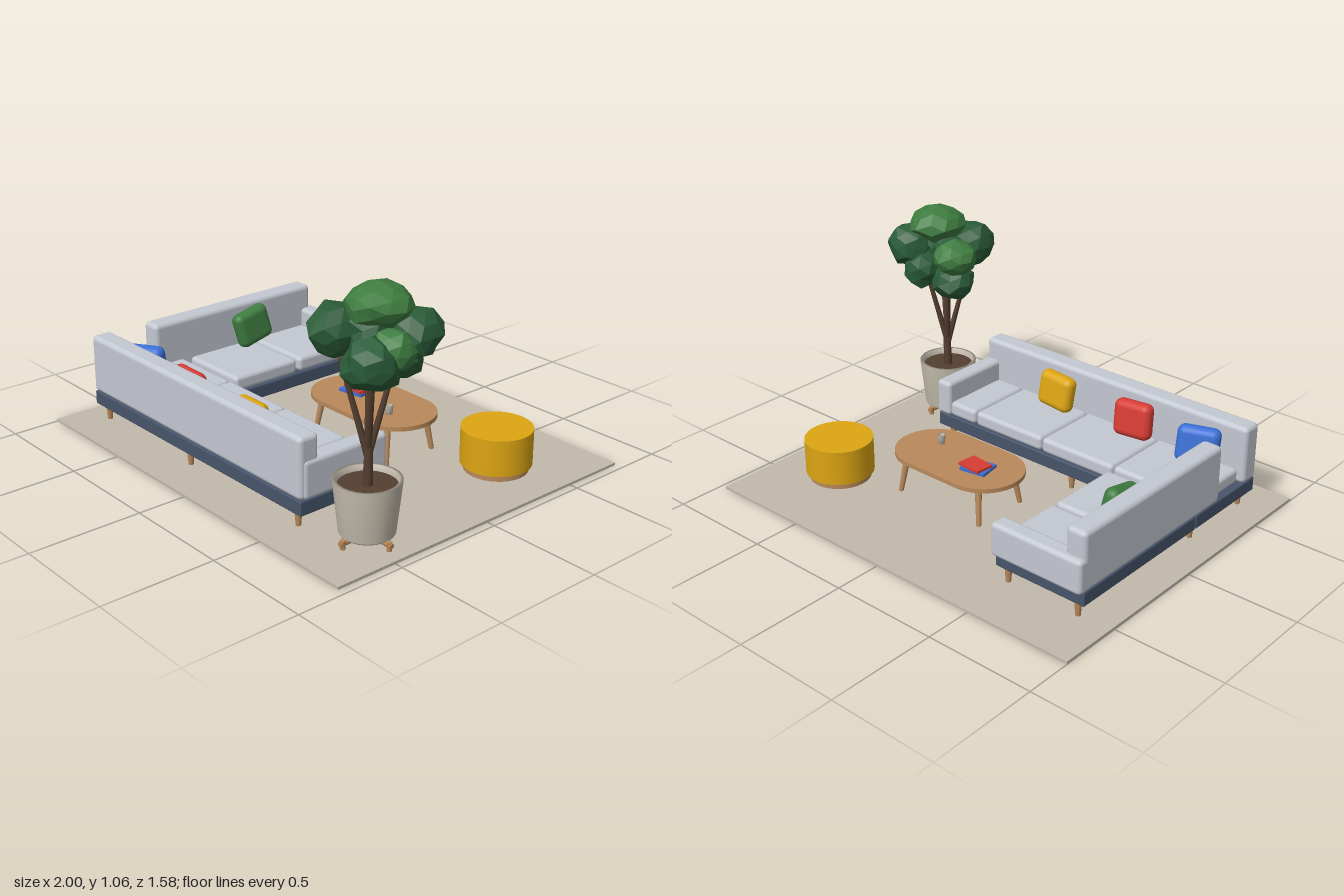
import * as THREE from 'three';
import { RoundedBoxGeometry } from 'three/addons/geometries/RoundedBoxGeometry.js';

const mat = (name, color) => {
  const m = new THREE.MeshStandardMaterial({ color });
  m.name = name;
  return m;
};

export function createModel() {
  const stone = mat('warm stone', 0xc1b9aa);
  const fabric = mat('light grey fabric', 0xc4c8d1);
  const slate = mat('slate base', 0x47546a);
  const wood = mat('light wood', 0xb9895a);
  const mustard = mat('mustard', 0xdca512);
  const red = mat('red', 0xd63c34);
  const blue = mat('blue', 0x3b70d6);
  const leafDark = mat('dark leaf', 0x2a5c38);
  const leaf = mat('leaf green', 0x3f7d41);
  const bark = mat('bark', 0x553f30);

  const model = new THREE.Group();
  model.name = 'livingRoomSet';
  const group = (name) => {
    const g = new THREE.Group();
    g.name = name;
    model.add(g);
    return g;
  };
  const add = (parent, name, geo, material, x = 0, y = 0, z = 0) => {
    const m = new THREE.Mesh(geo, material);
    m.name = name;
    m.position.set(x, y, z);
    parent.add(m);
    return m;
  };
  // box given by its limits, rounded when r > 0
  const block = (parent, name, material, x0, x1, y0, y1, z0, z1, r = 0) => {
    const s = [x1 - x0, y1 - y0, z1 - z0];
    const geo = r ? new RoundedBoxGeometry(...s, 3, r) : new THREE.BoxGeometry(...s);
    return add(parent, name, geo, material, (x0 + x1) / 2, (y0 + y1) / 2, (z0 + z1) / 2);
  };
  // tapered rod between two points
  const rod = (parent, name, material, a, b, ra, rb, sides = 12) => {
    const A = new THREE.Vector3(...a), B = new THREE.Vector3(...b);
    const dir = B.clone().sub(A);
    const m = add(parent, name, new THREE.CylinderGeometry(rb, ra, dir.length(), sides), material);
    m.position.copy(A).add(B).multiplyScalar(0.5);
    m.quaternion.setFromUnitVectors(new THREE.Vector3(0, 1, 0), dir.normalize());
    return m;
  };

  // Rug
  block(model, 'rug', stone, -1, 0.965, 0, 0.012, -0.79, 0.785);

  // Corner sofa: bases, backs and arms
  const sofa = group('cornerSofa');
  block(sofa, 'longBase', slate, -0.895, 0.572, 0.083, 0.147, 0.192, 0.635, 0.006);
  block(sofa, 'sideBase', slate, -0.895, -0.447, 0.083, 0.147, -0.56, 0.188, 0.006);
  block(sofa, 'longBack', fabric, -0.9, 0.572, 0.147, 0.415, 0.538, 0.637, 0.022);
  block(sofa, 'sideBack', fabric, -0.9, -0.803, 0.147, 0.415, -0.567, 0.355, 0.022);
  block(sofa, 'longArm', fabric, 0.497, 0.58, 0.147, 0.315, 0.187, 0.62, 0.02);
  block(sofa, 'sideArm', fabric, -0.9, -0.447, 0.147, 0.3, -0.595, -0.512, 0.02);

  // Seat cushions
  [[-0.868, -0.452], [-0.448, -0.052], [-0.048, 0.343], [0.348, 0.505]].forEach(([a, b]) =>
    block(sofa, 'longSeatCushion', fabric, a, b, 0.147, 0.218, 0.197, 0.545, 0.02));
  [[-0.52, -0.21], [-0.195, 0.165]].forEach(([a, b]) =>
    block(sofa, 'sideSeatCushion', fabric, -0.81, -0.452, 0.147, 0.218, a, b, 0.02));

  // Sofa legs
  [[-0.845, 0.595], [-0.21, 0.595], [0.51, 0.595], [-0.845, 0.225], [-0.21, 0.225], [0.51, 0.225],
    [-0.845, -0.53], [-0.49, -0.53]].forEach(([x, z]) =>
    rod(sofa, 'sofaLeg', wood, [x, 0.012, z], [x, 0.086, z], 0.011, 0.017));

  // Throw pillows: material, position, lean, turn and roll
  const pillow = (name, material, x, y, z, rx, ry, rz) => {
    const geo = new RoundedBoxGeometry(0.19, 0.17, 0.075, 5, 0.034);
    const m = add(sofa, name, geo, material, x, y, z);
    m.rotation.set(rx, ry, rz, 'YXZ');
  };
  pillow('bluePillow', blue, -0.7, 0.3, 0.475, 0.16, 0.45, 0.06);
  pillow('redPillow', red, -0.345, 0.3, 0.49, 0.14, 0.04, -0.05);
  pillow('mustardPillow', mustard, 0.095, 0.3, 0.49, 0.14, -0.06, 0.05);
  pillow('greenPillow', leaf, -0.755, 0.31, -0.165, -0.12, Math.PI / 2, 0.22);

  // Coffee table with an oval top
  const table = group('coffeeTable');
  table.position.set(0.115, 0, -0.16);
  const oval = new THREE.Shape();
  oval.absarc(0.145, 0, 0.18, -Math.PI / 2, Math.PI / 2);
  oval.absarc(-0.145, 0, 0.18, Math.PI / 2, Math.PI * 1.5);
  const topGeo = new THREE.ExtrudeGeometry(oval, { depth: 0.02, bevelEnabled: false, curveSegments: 20 });
  topGeo.rotateX(-Math.PI / 2);
  add(table, 'tableTop', topGeo, wood, 0, 0.184, 0);
  for (const sx of [-1, 1]) for (const sz of [-1, 1])
    rod(table, 'tableLeg', wood, [sx * 0.233, 0.012, sz * 0.135], [sx * 0.21, 0.186, sz * 0.11], 0.011, 0.016);

  // Books and cup
  block(table, 'lowerBook', blue, -0.187, -0.063, 0.204, 0.217, -0.07, 0.035).rotation.y = 0.17;
  block(table, 'upperBook', red, -0.176, -0.058, 0.217, 0.229, -0.07, 0.02).rotation.y = -0.1;
  const cup = [[0, 0], [0.015, 0], [0.019, 0.042], [0.016, 0.042], [0.013, 0.008], [0, 0.008]];
  const lathe = (pts, seg) => new THREE.LatheGeometry(pts.map((p) => new THREE.Vector2(...p)), seg);
  add(table, 'cup', lathe(cup, 16), stone, 0.155, 0.204, 0.05);

  // Round pouf on a wooden plinth
  const pouf = group('pouf');
  pouf.position.set(0.66, 0, -0.37);
  add(pouf, 'poufPlinth', new THREE.CylinderGeometry(0.14, 0.14, 0.03, 32), wood, 0, 0.027, 0);
  add(pouf, 'poufSeat', new THREE.CylinderGeometry(0.155, 0.155, 0.162, 36), mustard, 0, 0.122, 0);

  // Plant pot on a crossed stand
  const plant = group('pottedTree');
  plant.position.set(0.767, 0, 0.465);
  rod(plant, 'standBarX', wood, [-0.14, 0.036, 0], [0.14, 0.036, 0], 0.011, 0.011);
  rod(plant, 'standBarZ', wood, [0, 0.036, -0.14], [0, 0.036, 0.14], 0.011, 0.011);
  [[-1, 0], [1, 0], [0, -1], [0, 1]].forEach(([x, z]) =>
    rod(plant, 'standFoot', wood, [x * 0.125, 0.012, z * 0.125], [x * 0.125, 0.05, z * 0.125], 0.011, 0.013));
  const pot = [[0, 0.042], [0.108, 0.042], [0.113, 0.05], [0.137, 0.27], [0.122, 0.27], [0.118, 0.235]];
  add(plant, 'pot', lathe(pot, 28), stone);
  add(plant, 'soil', new THREE.CylinderGeometry(0.119, 0.119, 0.01, 28), bark, 0, 0.24, 0);

  // Trunk and branches
  rod(plant, 'trunk', bark, [0, 0.23, 0], [0.005, 0.42, 0], 0.021, 0.016, 8);
  [[-0.07, 0.76, 0.08], [0.1, 0.74, 0.07], [0.07, 0.78, -0.08], [-0.08, 0.72, -0.07], [0.02, 0.92, 0]].forEach((p, i) =>
    rod(plant, 'branch', bark, [0, 0.36 + (i % 2) * 0.03, 0], p, 0.015, 0.009, 7));

  // Faceted leaf clumps: material, centre, radii
  const clump = (material, [x, y, z], [rx, ry, rz], seed) => {
    const geo = new THREE.IcosahedronGeometry(1, 1);
    const p = geo.attributes.position, v = new THREE.Vector3();
    for (let i = 0; i < p.count; i++) {
      v.fromBufferAttribute(p, i);
      // the same corner always gets the same bump
      const bump = 0.97 + 0.12 * Math.sin(v.x * 5.1 + seed * 2.3) * Math.cos(v.y * 4.3 - v.z * 5.7 + seed);
      v.multiplyScalar(bump);
      p.setXYZ(i, v.x * rx, v.y * ry, v.z * rz);
    }
    geo.computeVertexNormals();
    add(plant, 'leafClump', geo, material, x, y, z);
  };
  [
    [leaf, [0.03, 0.975, -0.025], [0.135, 0.085, 0.14]],
    [leafDark, [-0.09, 0.87, 0.09], [0.1, 0.11, 0.115]],
    [leafDark, [0.11, 0.79, 0.085], [0.115, 0.105, 0.115]],
    [leafDark, [0.125, 0.87, -0.11], [0.105, 0.105, 0.11]],
    [leaf, [-0.14, 0.86, -0.09], [0.105, 0.085, 0.11]],
    [leafDark, [-0.1, 0.725, -0.06], [0.1, 0.09, 0.1]],
    [leafDark, [0.05, 0.765, -0.1], [0.1, 0.095, 0.105]],
    [leaf, [0.13, 0.83, 0], [0.09, 0.085, 0.095]],
    [leafDark, [0, 0.87, 0], [0.11, 0.1, 0.11]],
  ].forEach(([m, c, r], i) => clump(m, c, r, i + 1));

  return model;
}
